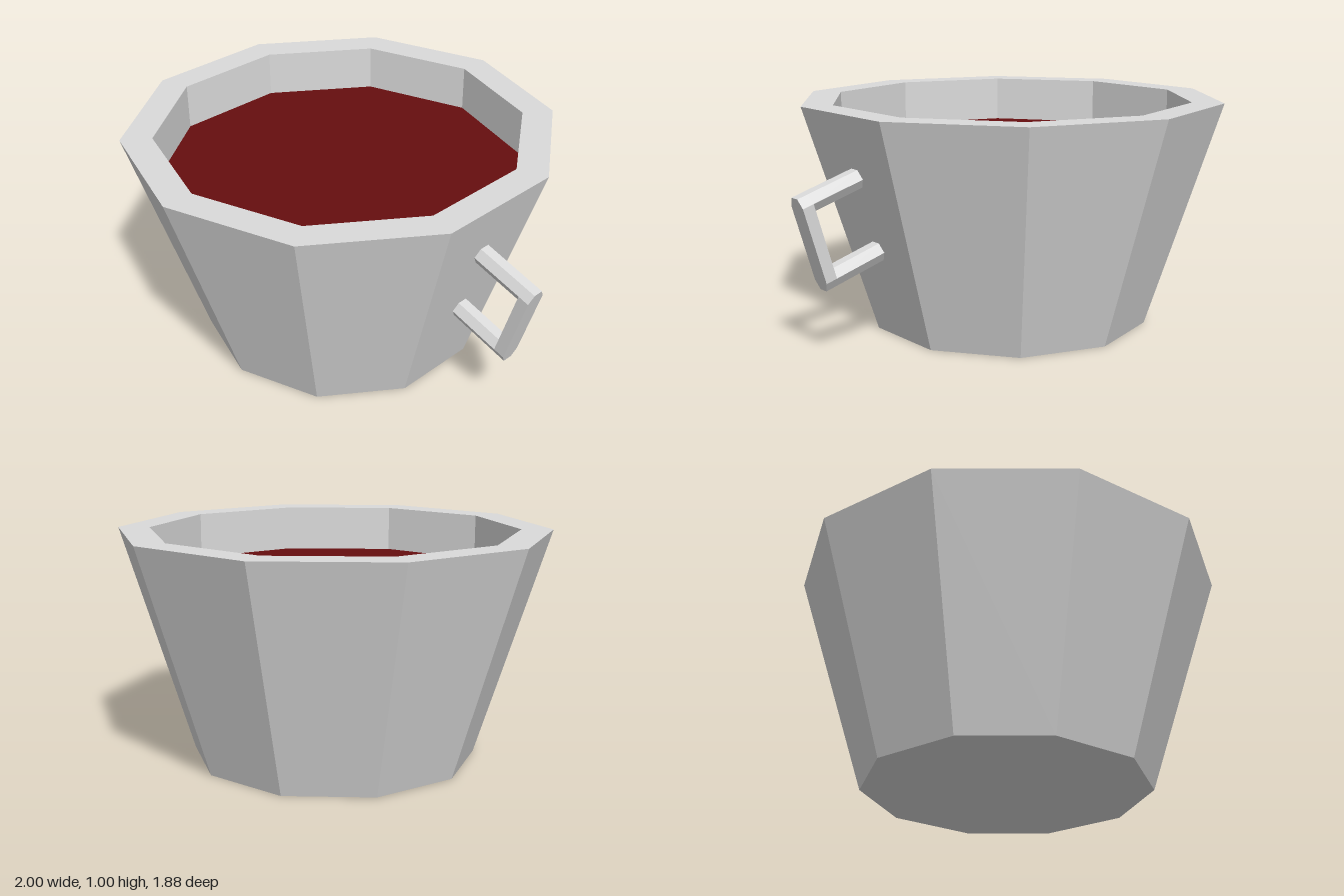
import * as THREE from 'three';

const steel = new THREE.MeshStandardMaterial({ name: 'pale grey', color: 0xdadada });
const drink = new THREE.MeshStandardMaterial({ name: 'dark red', color: 0x660e0f });

const SIDES = 10;
const CUP_X = -0.105;

// Faceted normals for the low-poly look
function faceted(geometry) {
  const g = geometry.index ? geometry.toNonIndexed() : geometry;
  g.computeVertexNormals();
  return g;
}

function addMesh(parent, name, geometry, material) {
  const mesh = new THREE.Mesh(faceted(geometry), material);
  mesh.name = name;
  parent.add(mesh);
  return mesh;
}

// Hexagonal prism running along +x, pointed at +z and -z, stretched in y to halfHeight
function hexPrism(halfHeight, length) {
  const w = 0.045, c = 0.0225, straight = halfHeight - 0.039;
  const points = [[c, halfHeight], [-c, halfHeight], [-w, straight],
    [-w, -straight], [-c, -halfHeight], [c, -halfHeight], [w, -straight], [w, straight]];
  // A plain hexagon has no straight sides, so its doubled points are dropped
  const outline = straight > 0 ? points : points.filter((p, i) => i !== 3 && i !== 7);
  const shape = new THREE.Shape(outline.map(([x, y]) => new THREE.Vector2(x, y)));
  const g = new THREE.ExtrudeGeometry(shape, { depth: length, bevelEnabled: false });
  return g.rotateY(Math.PI / 2);
}

export function createModel() {
  const model = new THREE.Group();
  model.name = 'cup';

  // Tapered ten-sided body with a thick rim and upright inner wall
  const profile = [[0, 0], [0.625, 0], [0.94, 1], [0.803, 1], [0.803, 0.79]]
    .map(([r, y]) => new THREE.Vector2(r, y));
  addMesh(model, 'body', new THREE.LatheGeometry(profile, SIDES), steel).position.x = CUP_X;

  // Drink surface, just below the rim
  const surface = new THREE.CircleGeometry(0.803, SIDES, Math.PI / 2).rotateX(-Math.PI / 2);
  addMesh(model, 'drink', surface, drink).position.set(CUP_X, 0.795, 0);

  // Handle, tilted to follow the wall; its origin is the middle of the grip's outer face
  const handle = new THREE.Group();
  handle.name = 'handle';
  handle.position.set(0.94, 0.488, 0);
  handle.rotation.z = -0.29;
  model.add(handle);

  addMesh(handle, 'grip', hexPrism(0.206, 0.051), steel).position.x = -0.051;
  for (const [name, side] of [['upperArm', 1], ['lowerArm', -1]]) {
    addMesh(handle, name, hexPrism(0.039, 0.25), steel).position.set(-0.301, side * 0.167, 0);
  }

  return model;
}
